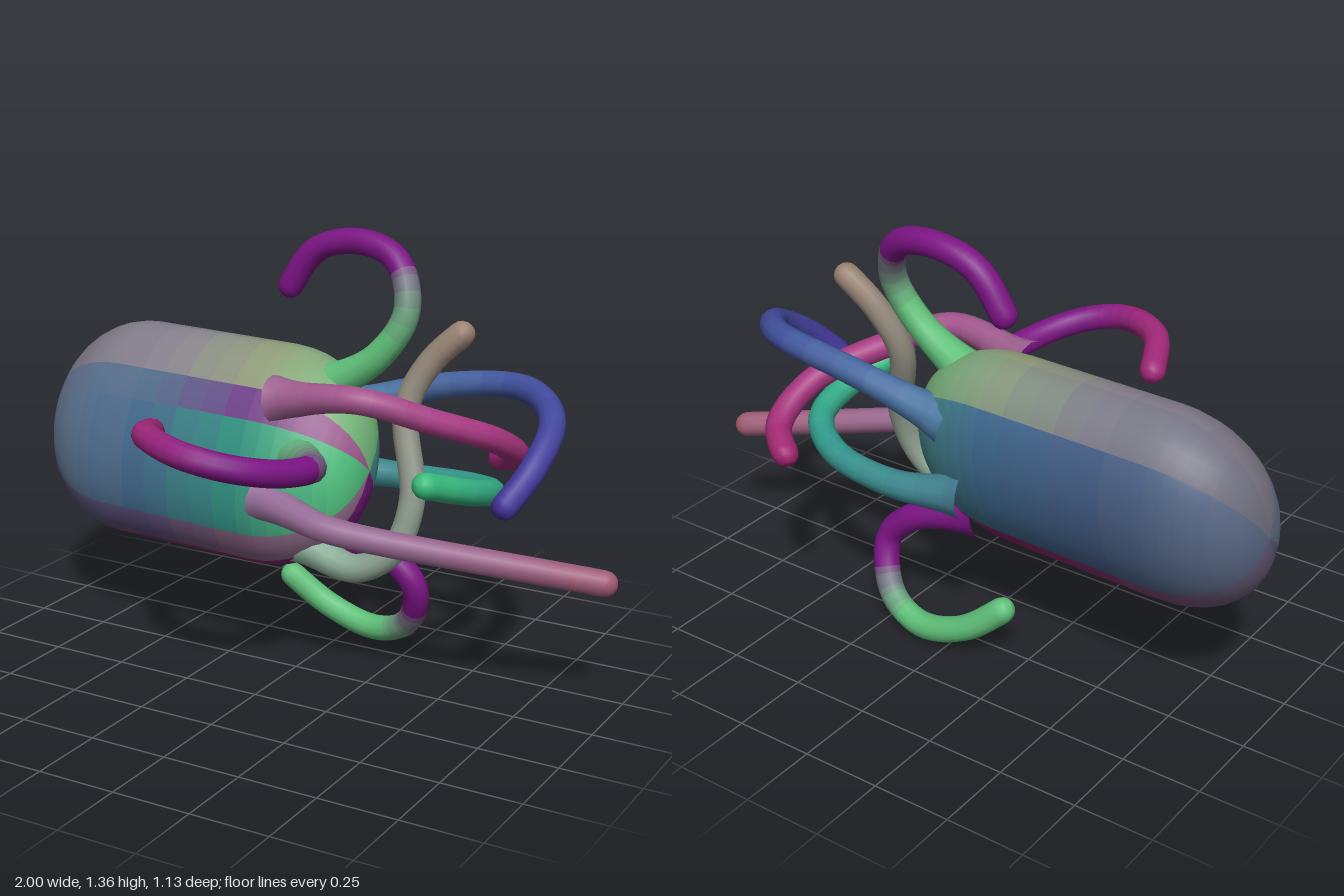
import * as THREE from 'three';

const GREEN = 0x5fbf78, PURPLE = 0x7c1484, MAGENTA = 0xa02878;
const palette = new Map();

// one shared material per colour
function paint(hex) {
  if (!palette.has(hex)) palette.set(hex, new THREE.MeshStandardMaterial({ color: hex }));
  return palette.get(hex);
}

// colour at t along a list of colours, blended in small steps
function blend(list, t) {
  const f = Math.min(Math.max(t, 0), 1) * (list.length - 1);
  const i = Math.min(Math.floor(f), list.length - 2);
  const step = Math.round((f - i) * 6) / 6;
  return new THREE.Color(list[i]).lerp(new THREE.Color(list[i + 1]), step).getHex();
}

// smooth skin over rings of points; colourAt(ring, side) picks each patch's colour
function skin(name, rings, colourAt) {
  const m = rings[0].length;
  const buckets = new Map();
  for (let i = 0; i < rings.length - 1; i++) {
    for (let j = 0; j < m; j++) {
      const k = (j + 1) % m;
      const a = i * m + j, d = i * m + k, b = a + m, c = d + m;
      const hex = colourAt(i, j);
      if (!buckets.has(hex)) buckets.set(hex, []);
      buckets.get(hex).push(a, d, b, b, d, c);
    }
  }
  const g = new THREE.BufferGeometry().setFromPoints(rings.flat());
  const index = [], materials = [];
  for (const [hex, tris] of buckets) {
    g.addGroup(index.length, tris.length, materials.length);
    for (const t of tris) index.push(t);
    materials.push(paint(hex));
  }
  g.setIndex(index);
  g.computeVertexNormals();
  const mesh = new THREE.Mesh(g, materials);
  mesh.name = name;
  return mesh;
}

// long capsule body: leaning oval section, a dome at each end
function body() {
  const SIDES = 40, CAP = 10;
  const stations = [];
  for (let k = 0; k <= CAP; k++) {
    const a = (k / CAP) * Math.PI / 2;
    stations.push({ x: -0.68 - 0.32 * Math.cos(a), size: Math.sin(a) ** 0.85 });
  }
  for (let k = 1; k < 6; k++) stations.push({ x: -0.68 + 0.53 * (k / 6), size: 1 });
  for (let k = CAP; k >= 0; k--) {
    const a = (k / CAP) * Math.PI / 2;
    stations.push({ x: -0.15 + 0.34 * Math.cos(a), size: Math.sin(a) ** 0.85 });
  }
  const rings = stations.map(({ x, size }) => Array.from({ length: SIDES }, (_, j) => {
    const a = (j / SIDES) * Math.PI * 2;
    const y = 0.337 * size * Math.cos(a);
    const z = 0.244 * size * Math.sin(a) - 0.23 * y;
    return new THREE.Vector3(x, 0.66 - 0.012 * (x + 0.7) + y, -0.165 + 0.045 * (x + 0.7) + z);
  }));
  // bands around the body, from the top turning to the front; colours run along x
  const bands = [
    { end: 45, colours: [0x77727f, 0x857f8c, 0x8f9a78, 0x74b578] },
    { end: 64, colours: [0x5f6f88, 0x4f6a88, 0x6d3f88, 0x9c5a8c] },
    { end: 128, colours: [0x5f728a, 0x42688c, 0x309080, 0x4fc07c] },
    { end: 150, colours: [0x5a5a7c, 0x5c4f7c, 0x84607e, 0x97708e] },
    { end: 230, colours: [0x6a5f7c, 0x8a2f6c, 0x86205f, 0x7c1a80] },
    { end: 318, colours: [0x5a6a86, 0x46608a, 0x3f6a90, 0x45908a] },
    { end: 360, colours: [0x70707f, 0x7c7a88, 0x84967c, 0x70b878] },
  ];
  return skin('body', rings, (i, j) => {
    const deg = ((j + 0.5) / SIDES) * 360;
    return blend(bands.find((b) => deg < b.end).colours, (stations[i].x + 0.95) / 1.1);
  });
}

// round arm along a path, flared at the root and rounded at the tip
function arm(name, colours, path) {
  const SIDES = 12, STEPS = 44, R = 0.041;
  const curve = new THREE.CatmullRomCurve3(path.map((p) => new THREE.Vector3(...p)), false, 'centripetal');
  const length = curve.getLength();
  const stops = Array.from({ length: STEPS + 1 }, (_, i) => (i / STEPS) * (length - R));
  for (const a of [0.4, 0.7, 0.9, 1]) stops.push(length - R + R * a);
  let n = new THREE.Vector3(0.31, 0.52, 0.79);
  const rings = stops.map((s) => {
    const t = Math.min(s / length, 1);
    const p = curve.getPointAt(t), dir = curve.getTangentAt(t);
    n = n.clone().addScaledVector(dir, -n.dot(dir)).normalize();
    const side = dir.clone().cross(n);
    const tip = Math.max(0, (s - length + R) / R);
    const r = (R + 0.035 * Math.exp(-s / 0.1)) * Math.sqrt(Math.max(0, 1 - tip * tip));
    return Array.from({ length: SIDES }, (_, j) => {
      const a = (j / SIDES) * Math.PI * 2;
      return p.clone().addScaledVector(n, r * Math.cos(a)).addScaledVector(side, r * Math.sin(a));
    });
  });
  return skin(name, rings, (i) => blend(colours, stops[i] / length));
}

export function createModel() {
  const model = new THREE.Group();
  model.name = 'tentacledCapsule';
  model.add(body());

  // arms curling back over, under and in front of the body
  model.add(arm('topArm', [GREEN, GREEN, PURPLE, PURPLE, PURPLE],
    [[0, 0.88, -0.19], [0.18, 1, -0.195], [0.26, 1.14, -0.22], [0.2, 1.28, -0.275],
      [0.06, 1.325, -0.3], [-0.1, 1.285, -0.3], [-0.21, 1.13, -0.29]]));
  model.add(arm('bottomArm', [PURPLE, PURPLE, PURPLE, GREEN, GREEN, GREEN],
    [[-0.02, 0.41, -0.18], [0.2, 0.35, -0.225], [0.295, 0.25, -0.24], [0.24, 0.1, -0.3],
      [0.11, 0.045, -0.33], [-0.06, 0.09, -0.33], [-0.215, 0.21, -0.29]]));
  model.add(arm('frontArm', [GREEN, PURPLE, PURPLE, MAGENTA, MAGENTA],
    [[0.02, 0.7, 0.02], [0.165, 0.74, 0.2], [0.14, 0.765, 0.36], [0.05, 0.8, 0.48],
      [-0.08, 0.83, 0.52], [-0.25, 0.84, 0.44], [-0.355, 0.795, 0.25]]));

  // arms reaching out past the end of the body
  model.add(arm('straightArm', [0x97709a, 0x94648c, 0xa05a70],
    [[-0.08, 0.57, 0.06], [0.08, 0.553, 0.12], [0.2, 0.535, 0.135], [0.995, 0.41, -0.17]]));
  model.add(arm('upperFrontArm', [0x9c6290, 0xa83c84, 0xa02470],
    [[-0.08, 0.87, -0.01], [0.22, 0.91, 0.01], [0.4, 0.84, -0.12], [0.53, 0.76, -0.29],
      [0.54, 0.67, -0.45], [0.42, 0.615, -0.55]]));
  model.add(arm('upperBackArm', [0x4a78a0, 0x40509c, 0x44309a],
    [[0, 0.78, -0.31], [0.3, 0.88, -0.37], [0.6, 0.915, -0.355], [0.75, 0.87, -0.21],
      [0.765, 0.77, -0.05], [0.705, 0.645, 0.07]]));
  model.add(arm('lowerBackArm', [0x40788c, 0x309c8c, 0x38bc78],
    [[-0.08, 0.57, -0.34], [0.15, 0.56, -0.39], [0.4, 0.578, -0.36], [0.55, 0.61, -0.24],
      [0.56, 0.66, -0.06], [0.475, 0.725, 0.135]]));
  model.add(arm('risingArm', [0x88b098, 0x8c9488, 0x988070],
    [[0, 0.42, -0.03], [0.2, 0.37, -0.01], [0.32, 0.44, -0.03], [0.365, 0.6, -0.07],
      [0.305, 0.86, -0.14], [0.36, 1, -0.18], [0.48, 1.125, -0.215]]));
  return model;
}
